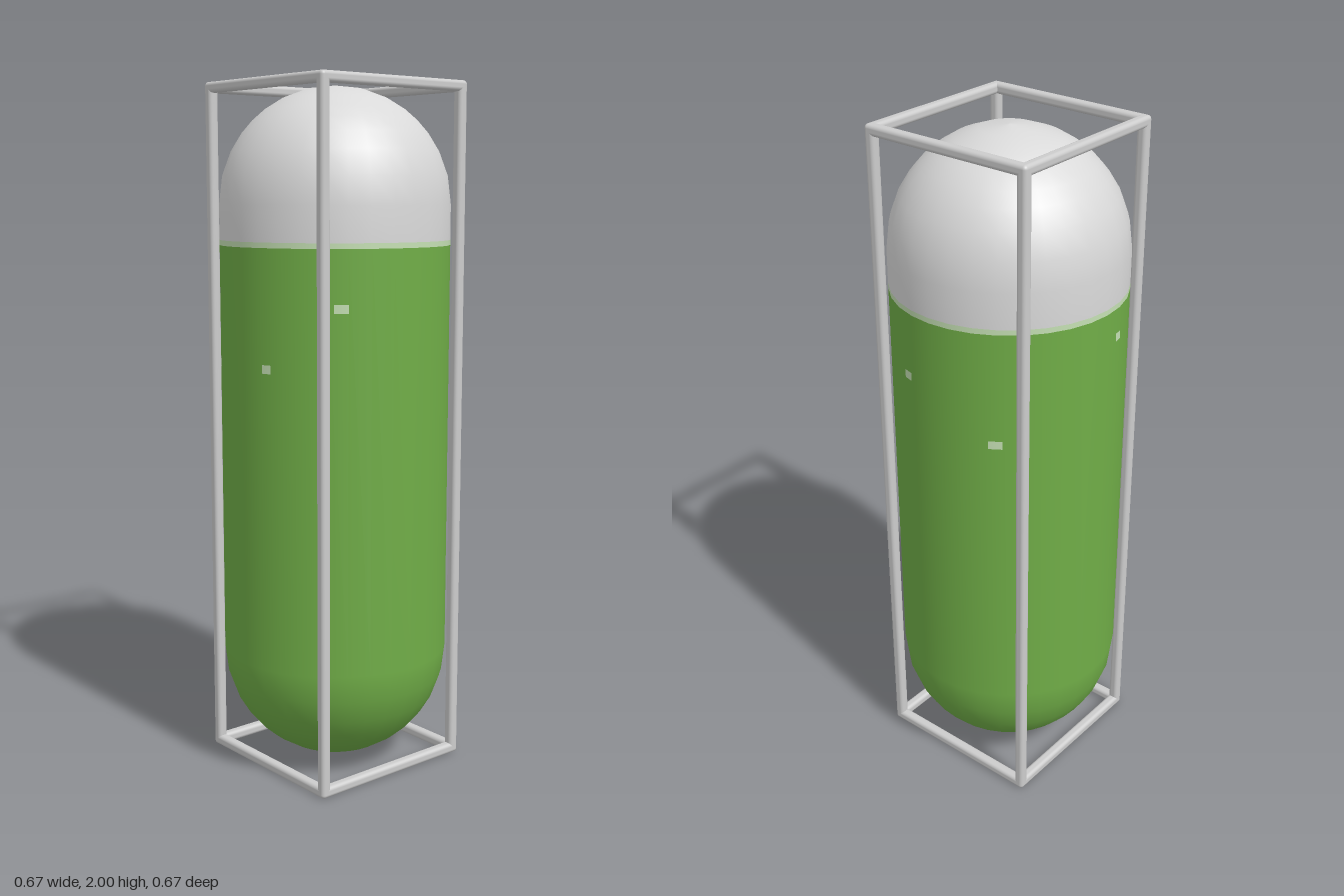
import * as THREE from 'three';
import { RoundedBoxGeometry } from 'three/addons/geometries/RoundedBoxGeometry.js';

const mat = (name, color) => {
  const m = new THREE.MeshStandardMaterial({ color });
  m.name = name;
  return m;
};

export function createModel() {
  const green = mat('green', 0x70ad47);
  const paleGreen = mat('pale green', 0xc5e0b4);
  const lightGrey = mat('light grey', 0xd9d9d9);
  const frameGrey = mat('frame grey', 0xcccccc);

  const model = new THREE.Group();
  model.name = 'framedCapsule';
  const add = (name, geometry, material, parent = model) => {
    const mesh = new THREE.Mesh(geometry, material);
    mesh.name = name;
    parent.add(mesh);
    return mesh;
  };

  const R = 0.333, LOW = 0.345, HIGH = 1.655, SEAM = 1.54, CAP = 1.555;
  const lathe = (pts) => new THREE.LatheGeometry(pts.map(([x, y]) => new THREE.Vector2(x, y)), 32);

  // Quarter-circle profile from equator to pole, in eight steps
  const arc = [];
  for (let i = 0; i <= 8; i++) {
    const a = i <= 4 ? Math.atan(i / 4) : Math.PI / 2 - Math.atan((8 - i) / 4);
    arc.push([Math.max(0, R * Math.cos(a)), R * Math.sin(a)]);
  }

  // Capsule: green body, pale seam and grey dome
  add('body', lathe([...arc.map(([x, y]) => [x, LOW - y]).reverse(), [R, SEAM]]), green);
  add('seam', lathe([[R, SEAM], [R, CAP]]), paleGreen);
  add('dome', lathe([[R, CAP], ...arc.map(([x, y]) => [x, HIGH + y])]), lightGrey);

  // Small pale flecks on the body: x, z, height, width
  const flecks = new THREE.Group();
  flecks.name = 'flecks';
  model.add(flecks);
  for (const [x, z, y, w] of [
    [-0.2, 0.266, 1.38, 0.04], [0.32, 0.09, 1.355, 0.03], [0.28, -0.18, 1.215, 0.04],
    [-0.278, -0.183, 1.205, 0.075], [-0.06, -0.327, 1.457, 0.025], [-0.32, 0.09, 1.21, 0.03],
  ]) {
    const a = Math.atan2(x, z), half = w / 2 / R;
    const patch = new THREE.CylinderGeometry(R + 0.001, R + 0.001, 0.024, 4, 1, true, a - half, half * 2);
    add('fleck', patch, paleGreen, flecks).position.y = y;
  }

  // Box frame of rounded bars around the capsule
  const frame = new THREE.Group();
  frame.name = 'frame';
  model.add(frame);
  const T = 0.031, OUT = 0.267, c = OUT - T / 2;
  const bar = (name, size, pos) =>
    add(name, new RoundedBoxGeometry(...size, 3, 0.011), frameGrey, frame).position.set(...pos);
  for (const s of [-1, 1]) {
    for (const t of [-1, 1]) {
      bar('post', [T, 2, T], [s * c, 1, t * c]);
      const y = 1 + t * (1 - T / 2);
      bar('railAcross', [OUT * 2, T, T], [0, y, s * c]);
      bar('railDeep', [T, T, OUT * 2], [s * c, y, 0]);
    }
  }
  return model;
}
